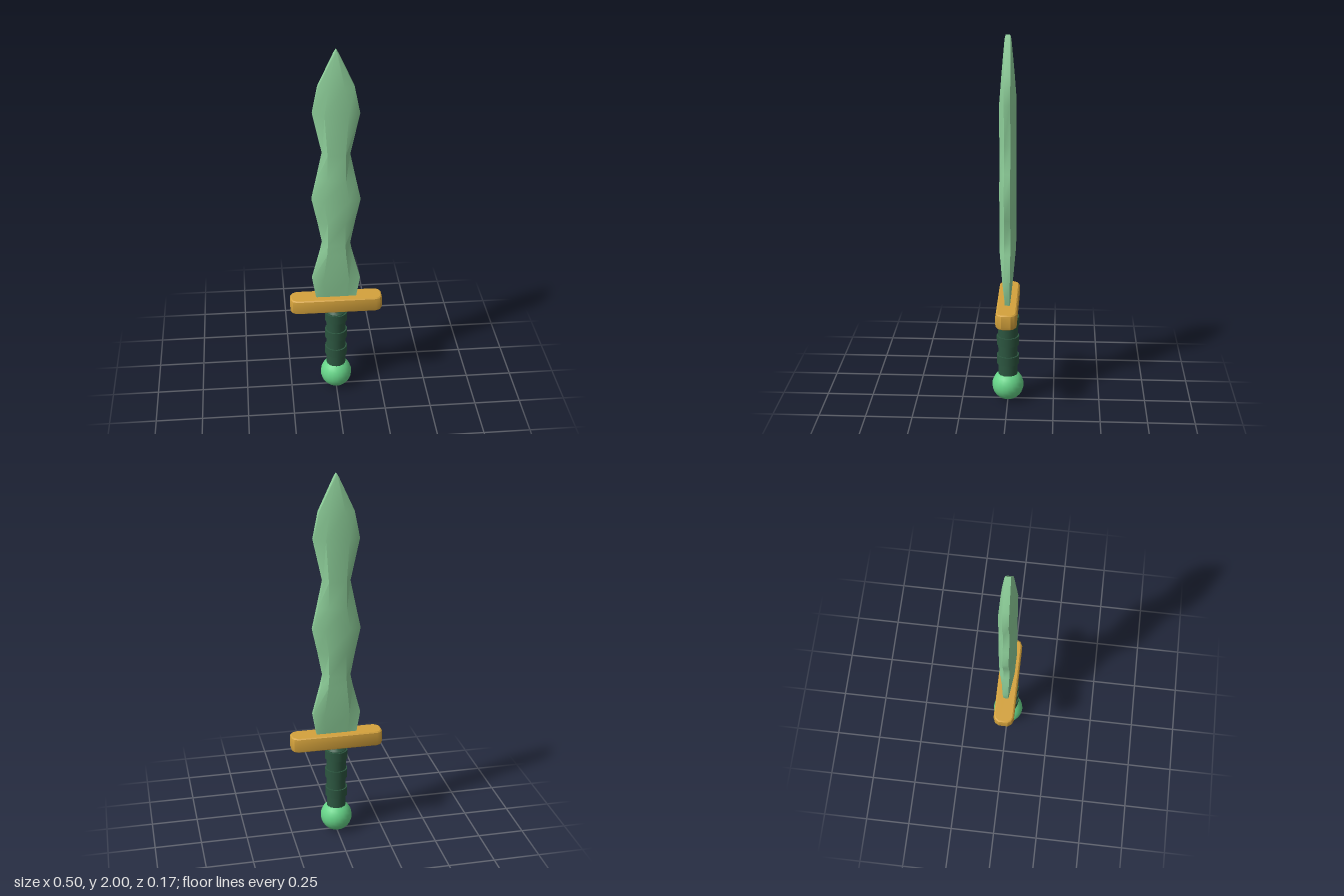
import * as THREE from 'three';
import { toCreasedNormals } from 'three/addons/utils/BufferGeometryUtils.js';

const mat = (name, color) => {
  const m = new THREE.MeshStandardMaterial({ color });
  m.name = name;
  return m;
};

// Blade lofted through eight-sided sections: flat cutting edges, bevels, flat faces
function bladeGeometry() {
  // y, half width, half width of flat face, half thickness at edge, half thickness at face
  const levels = [
    [0.58, 0.106, 0.06, 0.013, 0.014],
    [0.71, 0.128, 0.068, 0.015, 0.027],
    [0.87, 0.086, 0.05, 0.016, 0.041],
    [0.93, 0.073, 0.046, 0.016, 0.042],
    [1.06, 0.098, 0.046, 0.016, 0.042],
    [1.19, 0.126, 0.066, 0.016, 0.042],
    [1.31, 0.1, 0.048, 0.016, 0.042],
    [1.45, 0.071, 0.046, 0.016, 0.042],
    [1.67, 0.119, 0.06, 0.016, 0.041],
    [1.81, 0.091, 0.04, 0.016, 0.031],
    [1.98, 0.012, 0.005, 0.014, 0.017],
    [2.0, 0.001, 0.0005, 0.01, 0.012],
  ];
  const pos = [], idx = [];
  for (const [y, w, f, e, h] of levels) {
    const ring = [[w, e], [f, h], [-f, h], [-w, e], [-w, -e], [-f, -h], [f, -h], [w, -e]];
    for (const [x, z] of ring) pos.push(x, y, z);
  }
  for (let l = 0; l < levels.length - 1; l++) {
    for (let i = 0; i < 8; i++) {
      const a = l * 8 + i, b = l * 8 + (i + 1) % 8;
      idx.push(a, a + 8, b, b, a + 8, b + 8);
    }
  }
  const top = (levels.length - 1) * 8;
  for (let i = 1; i < 7; i++) {
    idx.push(0, i, i + 1);
    idx.push(top, top + i + 1, top + i);
  }
  const g = new THREE.BufferGeometry();
  g.setAttribute('position', new THREE.Float32BufferAttribute(pos, 3));
  g.setIndex(idx);
  return toCreasedNormals(g, 0.6);
}

// Crossguard: long bar with cut corners and chamfered rims
function guardGeometry() {
  const outline = [
    [0.24, -0.022], [0.24, 0.022], [0.23, 0.039], [0.212, 0.047],
    [-0.212, 0.047], [-0.23, 0.039], [-0.24, 0.022], [-0.24, -0.022],
    [-0.23, -0.039], [-0.212, -0.047], [0.212, -0.047], [0.23, -0.039],
  ].map(([x, y]) => new THREE.Vector2(x, y));
  const g = new THREE.ExtrudeGeometry(new THREE.Shape(outline), {
    depth: 0.046, bevelEnabled: true, bevelThickness: 0.018, bevelSize: 0.009, bevelSegments: 2,
  });
  g.translate(0, 0, -0.023);
  g.rotateX(-Math.PI / 2);
  return toCreasedNormals(g, 0.5);
}

export function createModel() {
  const sword = new THREE.Group();
  sword.name = 'sword';
  const bladeGreen = mat('pale green blade', 0x8fd19b);
  const gold = mat('gold', 0xd4a23c);
  const gripGreen = mat('dark green grip', 0x2c5640);
  const pommelGreen = mat('bright green pommel', 0x66d488);

  const add = (name, geometry, material, y = 0) => {
    const m = new THREE.Mesh(geometry, material);
    m.name = name;
    m.position.y = y;
    sword.add(m);
    return m;
  };

  add('blade', bladeGeometry(), bladeGreen);
  add('crossguard', guardGeometry(), gold, 0.555);

  // Handle with a narrowed collar under the guard
  const profile = [[0, 0.13], [0.053, 0.13], [0.053, 0.495], [0.035, 0.515], [0, 0.515]]
    .map(([x, y]) => new THREE.Vector2(x, y));
  add('grip', toCreasedNormals(new THREE.LatheGeometry(profile, 16), 0.5), gripGreen);

  // Raised wrapping bands
  [0.242, 0.354, 0.466].forEach((y, i) =>
    add('gripBand' + (i + 1), new THREE.CylinderGeometry(0.061, 0.061, 0.05, 16), gripGreen, y));

  add('pommel', new THREE.SphereGeometry(0.086, 20, 14), pommelGreen, 0.087);
  return sword;
}
